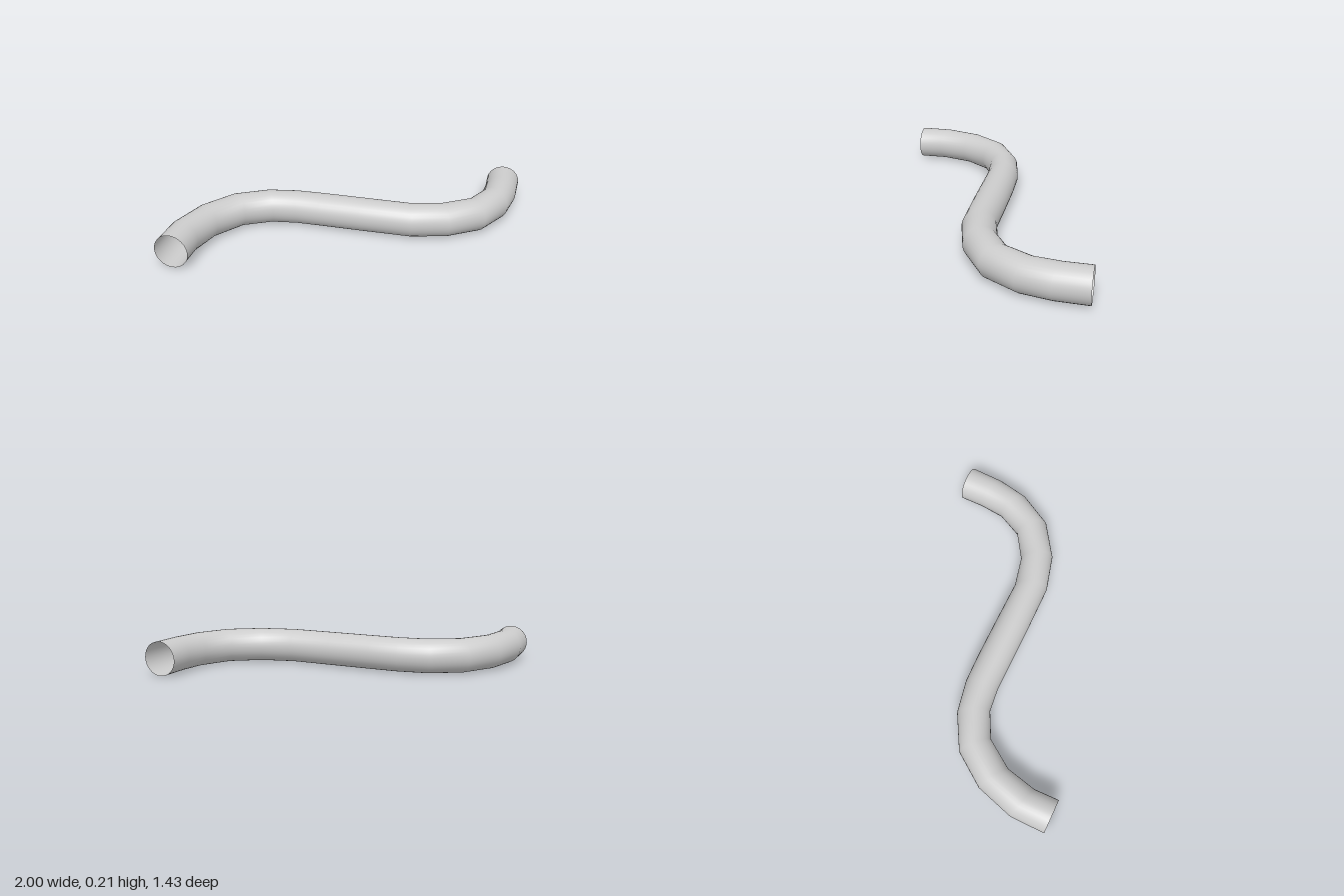
import * as THREE from 'three';

// Each cross-section of the pipe: outer edge (x, z) and opposite edge (x, z)
const SECTIONS = [
  [-1.0, 0.715, -0.792, 0.715],
  [-1.0, 0.5, -0.797, 0.56],
  [-0.93, 0.26, -0.755, 0.37],
  [-0.79, 0.06, -0.64, 0.2],
  [-0.58, -0.06, -0.485, 0.118],
  [-0.38, -0.1, -0.34, 0.1],
  [-0.2, -0.106, -0.19, 0.1],
  [0.07, -0.106, 0.07, 0.1],
  [0.335, -0.104, 0.4, 0.095],
  [0.53, -0.15, 0.625, 0.033],
  [0.69, -0.255, 0.83, -0.105],
  [0.77, -0.415, 0.95, -0.315],
  [0.786, -0.57, 0.99, -0.51],
  [0.786, -0.718, 0.998, -0.718],
];
const RADIUS = 0.105;
const HEIGHT = 0.11;
const SIDES = 32;

// Open pipe lofted through mitred rings
function pipeGeometry() {
  const positions = [], indices = [];
  SECTIONS.forEach(([ax, az, bx, bz], i) => {
    for (let j = 0; j < SIDES; j++) {
      const a = (j / SIDES) * Math.PI * 2;
      const t = (1 - Math.cos(a)) / 2;
      positions.push(ax + (bx - ax) * t, HEIGHT + RADIUS * Math.sin(a), az + (bz - az) * t);
      if (i === 0) continue;
      const k = (j + 1) % SIDES;
      const p = (i - 1) * SIDES, q = i * SIDES;
      indices.push(p + j, p + k, q + j, p + k, q + k, q + j);
    }
  });
  const geometry = new THREE.BufferGeometry();
  geometry.setAttribute('position', new THREE.Float32BufferAttribute(positions, 3));
  geometry.setIndex(indices);
  geometry.computeVertexNormals();
  return geometry;
}

export function createModel() {
  const group = new THREE.Group();
  group.name = 'bentPipe';
  const material = new THREE.MeshStandardMaterial({ color: 0xcccccc, side: THREE.DoubleSide });
  const pipe = new THREE.Mesh(pipeGeometry(), material);
  pipe.name = 'pipe';
  group.add(pipe);
  return group;
}
